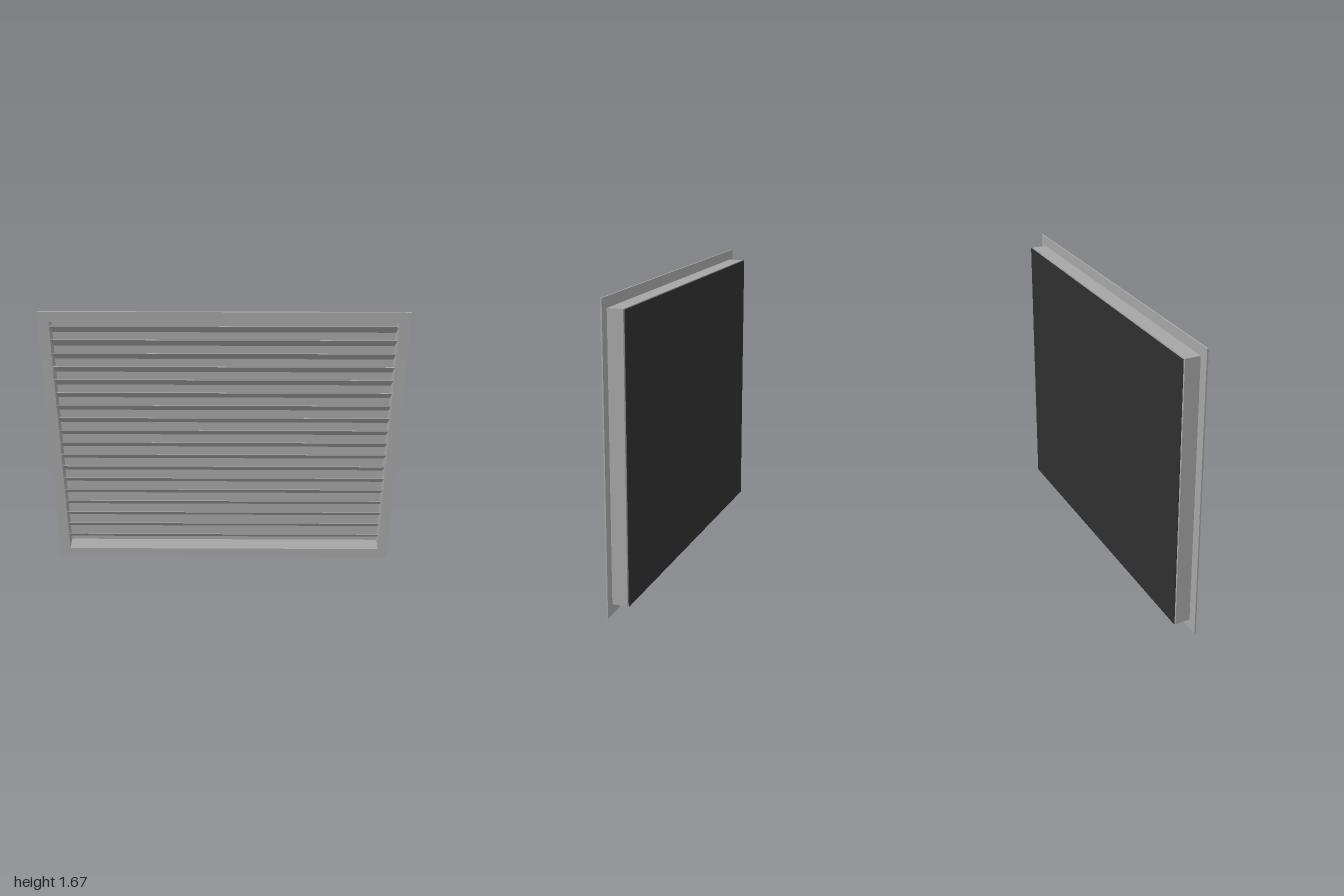
import * as THREE from 'three';

const W = 2, H = 1.67, MID = H / 2;
const BOX_W = 1.888, BOX_H = 1.556, WALL = 0.005;
const SLATS = 18, PITCH = 0.0832, SLAT_LEN = 0.1, SLAT_T = 0.003;

// Rectangular ring extruded along z, centred on the origin in x and y
function ring(w, h, innerW, innerH, depth) {
  const rect = (C, a, b) => new C([[-a, -b], [a, -b], [a, b], [-a, b]]
    .map(([x, y]) => new THREE.Vector2(x / 2, y / 2)));
  const shape = rect(THREE.Shape, w, h);
  shape.holes.push(rect(THREE.Path, innerW, innerH));
  return new THREE.ExtrudeGeometry(shape, { depth, bevelEnabled: false });
}

export function createModel() {
  const group = new THREE.Group();
  group.name = 'louvreVent';
  const grey = new THREE.MeshStandardMaterial({ color: 0xa6a6a6 });
  grey.name = 'grey metal';
  const dark = new THREE.MeshStandardMaterial({ color: 0x2f2f2f });
  dark.name = 'dark backing';

  function add(name, geometry, material, y, z) {
    const mesh = new THREE.Mesh(geometry, material);
    mesh.name = name;
    mesh.position.set(0, y, z);
    group.add(mesh);
    return mesh;
  }

  const innerW = BOX_W - 2 * WALL, innerH = BOX_H - 2 * WALL;

  // Thin front flange and the shallow sleeve behind it
  add('flange', ring(W, H, innerW, innerH, 0.009), grey, MID, 0.044);
  add('sleeve', ring(BOX_W, BOX_H, innerW, innerH, 0.086), grey, MID, -0.042);

  // Inner back plate, then the dark sheet just behind it
  add('backPlate', new THREE.BoxGeometry(innerW, innerH, 0.004), grey, MID, -0.04);
  add('backSheet', new THREE.BoxGeometry(BOX_W, BOX_H - 0.004, 0.004), dark, MID, -0.051);

  // Slats tilted 45 degrees, front edge high
  const slatGeometry = new THREE.BoxGeometry(innerW, SLAT_T, SLAT_LEN);
  const slats = new THREE.Group();
  slats.name = 'slats';
  group.add(slats);
  for (let i = 0; i < SLATS; i++) {
    const slat = new THREE.Mesh(slatGeometry, grey);
    slat.name = 'slat';
    slat.position.set(0, MID + (i - (SLATS - 1) / 2) * PITCH, 0.003);
    slat.rotation.x = -Math.PI / 4;
    slats.add(slat);
  }
  return group;
}
